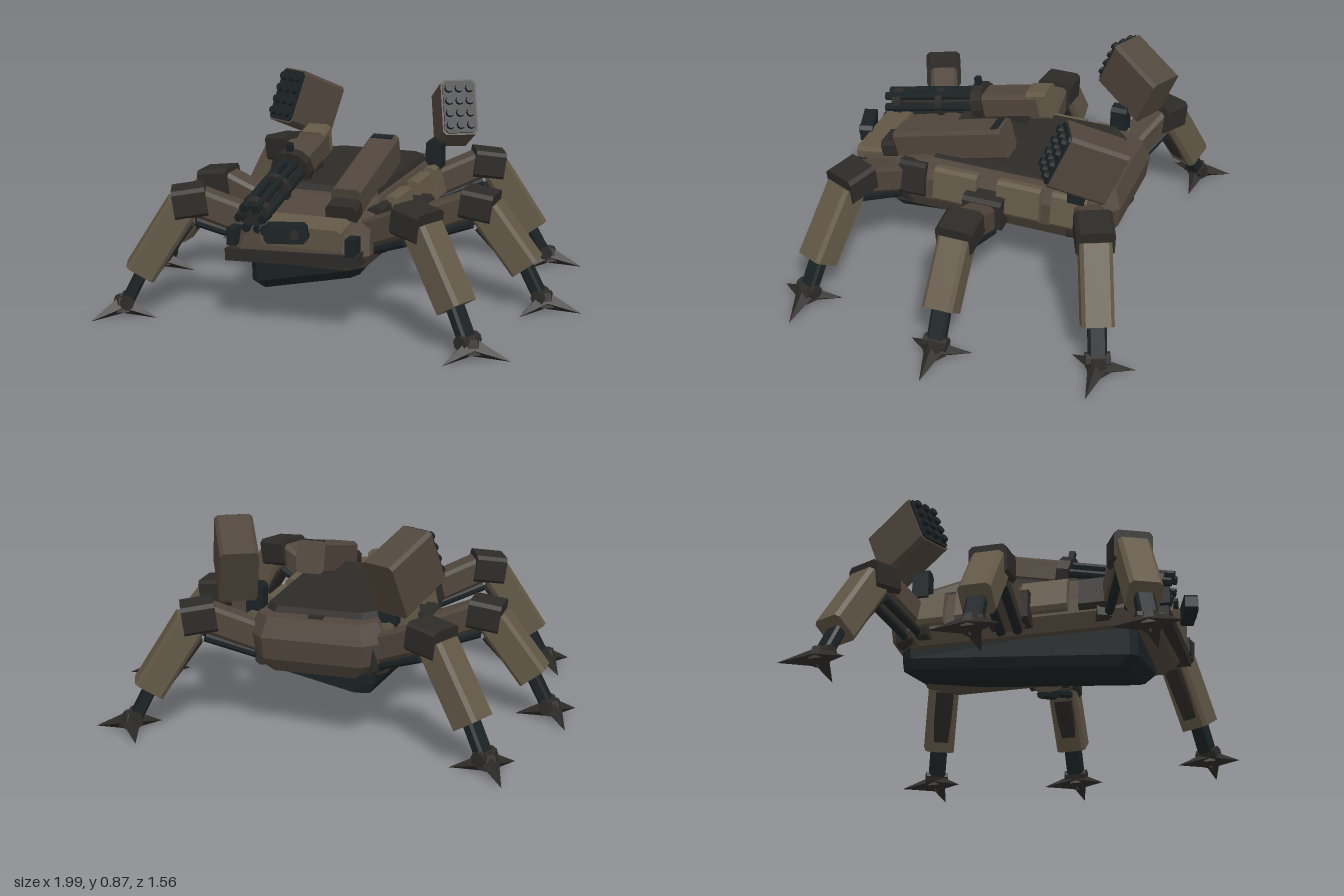
import * as THREE from 'three';

const mat = (color) => new THREE.MeshStandardMaterial({ color, flatShading: true });

export function createModel() {
  const model = new THREE.Group();
  const hullMat = mat(0x50463c), panelMat = mat(0x625846), darkMat = mat(0x2d2b28), gunMat = mat(0x1b2224);
  const body = new THREE.Group();
  body.name = 'body';
  body.position.x = -0.043;
  model.add(body);

  const add = (parent, name, geo, material, pos = [0, 0, 0], rot = [0, 0, 0]) => {
    const m = new THREE.Mesh(geo, material);
    m.name = name;
    m.position.set(...pos);
    m.rotation.set(...rot, 'YXZ');
    parent.add(m);
    return m;
  };

  // Box with chamfered long edges, length along z
  const block = (w, h, len, c = 0.015) => {
    const x = w / 2, y = h / 2;
    const s = new THREE.Shape([[x, c - y], [x, y - c], [x - c, y], [c - x, y], [-x, y - c], [-x, c - y], [c - x, -y], [x - c, -y]]
      .map((p) => new THREE.Vector2(...p)));
    return new THREE.ExtrudeGeometry(s, { depth: len, bevelEnabled: false }).translate(0, 0, -len / 2);
  };

  // Chamfered beam between two points of the xy plane
  const beam = (parent, name, a, b, thick, wide, material, c = 0.015) => {
    const dx = b[0] - a[0], dy = b[1] - a[1];
    const geo = block(thick, wide, Math.hypot(dx, dy), c).rotateX(-Math.PI / 2);
    return add(parent, name, geo, material, [(a[0] + b[0]) / 2, (a[1] + b[1]) / 2, a[2] || 0],
      [0, 0, Math.atan2(dy, dx) - Math.PI / 2]);
  };

  // Solid through stacked eight-sided rings [y or y(x,z), halfWidth, zFront, zBack, frontChamfer, backChamfer]
  const loft = (rings) => {
    const pts = rings.map(([y, w, f, b, cf, cb]) =>
      [[w, f - cf], [w, b + cb], [w - cb, b], [cb - w, b], [-w, b + cb], [-w, f - cf], [cf - w, f], [w - cf, f]]
        .map(([x, z]) => [x, typeof y === 'function' ? y(x, z) : y, z]));
    const out = [];
    const tri = (...v) => v.forEach((p) => out.push(...p));
    for (let r = 0; r + 1 < pts.length; r++) {
      for (let i = 0; i < 8; i++) {
        const j = (i + 1) % 8, A = pts[r], B = pts[r + 1];
        tri(A[i], A[j], B[j]);
        tri(A[i], B[j], B[i]);
      }
    }
    const bottom = pts[0], top = pts[pts.length - 1];
    for (let i = 1; i < 7; i++) {
      tri(top[0], top[i], top[i + 1]);
      tri(bottom[0], bottom[i + 1], bottom[i]);
    }
    const g = new THREE.BufferGeometry();
    g.setAttribute('position', new THREE.Float32BufferAttribute(out, 3));
    g.computeVertexNormals();
    return g;
  };

  // Hull, deck and tilted belly
  add(body, 'hull', loft([
    [0.27, 0.27, 0.58, -0.5, 0.06, 0.1], [0.33, 0.3, 0.63, -0.54, 0.08, 0.1],
    [0.42, 0.29, 0.62, -0.55, 0.1, 0.08], [0.5, 0.25, 0.32, -0.52, 0.04, 0.06],
  ]), hullMat);
  add(body, 'deck', loft([[0.5, 0.235, 0.28, -0.45, 0.02, 0.05], [0.525, 0.225, 0.27, -0.44, 0.02, 0.05]]), darkMat);
  const bellyY = (x, z) => 0.115 + (x + 0.21) * 0.216 + (0.45 - z) * 0.09;
  add(body, 'belly', loft([
    [bellyY, 0.215, 0.455, -0.5, 0.03, 0.05],
    [(x, z) => bellyY(x, z) + 0.045, 0.235, 0.5, -0.5, 0.03, 0.05],
    [(x, z) => Math.max(0.3, bellyY(x, z) + 0.06), 0.24, 0.5, -0.5, 0.03, 0.05],
  ]), gunMat);
  add(body, 'rearHatch', new THREE.BoxGeometry(0.06, 0.04, 0.03), darkMat, [0, 0.49, -0.48]);

  // Nose with bumper, panel and lamps
  add(body, 'bumper', new THREE.BoxGeometry(0.56, 0.05, 0.1), darkMat, [0, 0.315, 0.59], [0, 0, 0.04]);
  add(body, 'nosePanel', block(0.34, 0.09, 0.12), panelMat, [0.04, 0.41, 0.575], [0.15, 0, 0]);
  for (const x of [-0.1, 0.06]) {
    add(body, 'lamp', new THREE.CylinderGeometry(0.024, 0.024, 0.03, 8).rotateX(Math.PI / 2), gunMat, [x, 0.42, 0.635]);
  }
  for (const s of [-1, 1]) add(body, 'bumperEnd', new THREE.BoxGeometry(0.04, 0.07, 0.07), gunMat, [s * 0.25, 0.38, 0.61]);
  add(body, 'sensor', block(0.17, 0.075, 0.055), gunMat, [0, 0.43, 0.68], [0, 0.3, 0]);
  add(body, 'sensorLens', new THREE.CylinderGeometry(0.02, 0.02, 0.03, 8).rotateX(Math.PI / 2), darkMat, [0.04, 0.43, 0.69], [0, 0.3, 0]);

  // Side armour
  for (const s of [-1, 1]) {
    for (const z of [-0.14, 0.14, -0.36]) {
      add(body, 'sidePanel', block(0.07, 0.15, z < -0.3 ? 0.15 : 0.19), panelMat, [s * 0.285, 0.415, z], [0, 0, s * 0.2]);
    }
    add(body, 'sideBox', block(0.07, 0.15, 0.12), darkMat, [s * 0.275, 0.41, 0.34], [0, 0, s * 0.2]);
  }

  // Legs: local +x points outwards and the foot lies at x = 0
  const addLeg = (s, fx, fz, angle, drop) => {
    const leg = new THREE.Group();
    leg.name = 'leg';
    leg.position.set(s * fx, 0, fz);
    leg.rotation.y = Math.atan2(-Math.sin(angle), s * Math.cos(angle));
    body.add(leg);
    const k = 0.49 - drop;
    add(leg, 'hip', block(0.1, 0.14, 0.17), darkMat, [-0.56, 0.36, 0]);
    beam(leg, 'upperLeg', [-0.58, k - 0.12], [-0.33, k - 0.015], 0.115, 0.12, hullMat);
    for (const z of [-0.035, 0.035]) {
      beam(leg, 'upperPiston', [-0.55, k - 0.18, z], [-0.31, k - 0.09, z], 0.035, 0.035, gunMat, 0.01);
    }
    beam(leg, 'knee', [-0.355, k], [-0.22, k - 0.018], 0.12, 0.155, darkMat);
    beam(leg, 'shin', [-0.255, k - 0.03], [-0.078, 0.182], 0.13, 0.13, panelMat);
    beam(leg, 'shinBack', [-0.28, k - 0.1], [-0.14, 0.2], 0.05, 0.08, darkMat, 0.01);
    beam(leg, 'shinStrut', [-0.115, 0.24], [-0.022, 0.06], 0.05, 0.075, gunMat, 0.01);
    add(leg, 'ankle', new THREE.CylinderGeometry(0.03, 0.03, 0.1, 8).rotateX(Math.PI / 2), darkMat, [-0.02, 0.06, 0]);

    const foot = new THREE.Group();
    foot.name = 'foot';
    foot.position.set(s * fx, 0, fz);
    body.add(foot);
    add(foot, 'footHub', new THREE.CylinderGeometry(0.03, 0.05, 0.06, 6), darkMat, [0, 0.05, 0]);
    // Claws taper to tips that touch the ground
    for (let i = 0; i < 3; i++) {
      const claw = new THREE.ConeGeometry(0.04, 0.15, 4).rotateZ(-Math.PI / 2).translate(0.081, 0, 0);
      const p = claw.attributes.position;
      for (let n = 0; n < p.count; n++) p.setY(n, p.getY(n) + 0.045 * (1 - Math.max(0, p.getX(n)) / 0.156));
      claw.computeVertexNormals();
      add(foot, 'claw', claw, darkMat, [0, 0, 0], [0, i * Math.PI * 2 / 3, 0]);
    }
  };
  for (const s of [-1, 1]) {
    addLeg(s, 0.88, 0, 0, 0.05);
    for (const e of [-1, 1]) addLeg(s, 0.745, e * 0.643, e * 0.42, 0);
  }

  // Rocket launchers, pitched up and turned outwards
  for (const s of [-1, 1]) {
    add(body, 'launcherPost', block(0.07, 0.14, 0.07), gunMat, [s * 0.28, 0.53, -0.39]);
    const launcher = new THREE.Group();
    launcher.name = 'launcher';
    launcher.position.set(s * 0.35, 0.71, -0.44);
    launcher.rotation.set(-0.42, s * 0.46, 0, 'YXZ');
    body.add(launcher);
    add(launcher, 'launcherCase', block(0.155, 0.245, 0.25, 0.014), hullMat);
    add(launcher, 'launcherFace', block(0.14, 0.23, 0.02), gunMat, [0, 0, 0.125]);
    for (let r = 0; r < 4; r++) {
      for (let c = 0; c < 3; c++) {
        const at = [(c - 1) * 0.045, (r - 1.5) * 0.054, 0.135];
        add(launcher, 'rocketTube', new THREE.CylinderGeometry(0.017, 0.021, 0.04, 8).rotateX(Math.PI / 2), gunMat, at);
      }
    }
  }

  // Rotary gun on the right
  const gun = new THREE.Group();
  gun.name = 'rotaryGun';
  gun.position.set(-0.165, 0.545, 0.27);
  gun.rotation.x = 0.22;
  body.add(gun);
  add(gun, 'gunHousing', block(0.125, 0.11, 0.28), hullMat, [0, 0, -0.21]);
  add(gun, 'gunRearCap', block(0.115, 0.13, 0.09), panelMat, [0, 0, -0.35]);
  add(gun, 'gunMount', new THREE.BoxGeometry(0.11, 0.1, 0.22), darkMat, [0, -0.07, -0.17]);
  const ring = (name, r, len, z) =>
    add(gun, name, new THREE.CylinderGeometry(r, r, len, 12).rotateX(Math.PI / 2), darkMat, [0, 0, z]);
  ring('gunCollar', 0.088, 0.05, -0.07);
  ring('barrelClamp', 0.068, 0.03, 0.12);
  ring('muzzleClamp', 0.066, 0.04, 0.33);
  ring('barrelCore', 0.025, 0.42, 0.15);
  for (let i = 0; i < 6; i++) {
    const a = i * Math.PI / 3;
    add(gun, 'barrel', new THREE.CylinderGeometry(0.019, 0.019, 0.45, 8).rotateX(Math.PI / 2), gunMat,
      [0.05 * Math.cos(a), 0.05 * Math.sin(a), 0.16]);
  }
  add(gun, 'sight', new THREE.BoxGeometry(0.025, 0.05, 0.025), gunMat, [0, 0.095, -0.07]);

  // Long cannon on the left
  const cannon = new THREE.Group();
  cannon.name = 'cannon';
  cannon.position.set(0.165, 0.56, 0.2);
  cannon.rotation.x = 0.25;
  body.add(cannon);
  add(cannon, 'cannonCase', block(0.125, 0.14, 0.5), hullMat);
  add(cannon, 'cannonIntake', new THREE.BoxGeometry(0.09, 0.02, 0.03), gunMat, [0, 0.065, -0.22]);
  add(cannon, 'cannonMuzzle', block(0.13, 0.08, 0.07), darkMat, [0, -0.01, 0.285]);
  return model;
}
